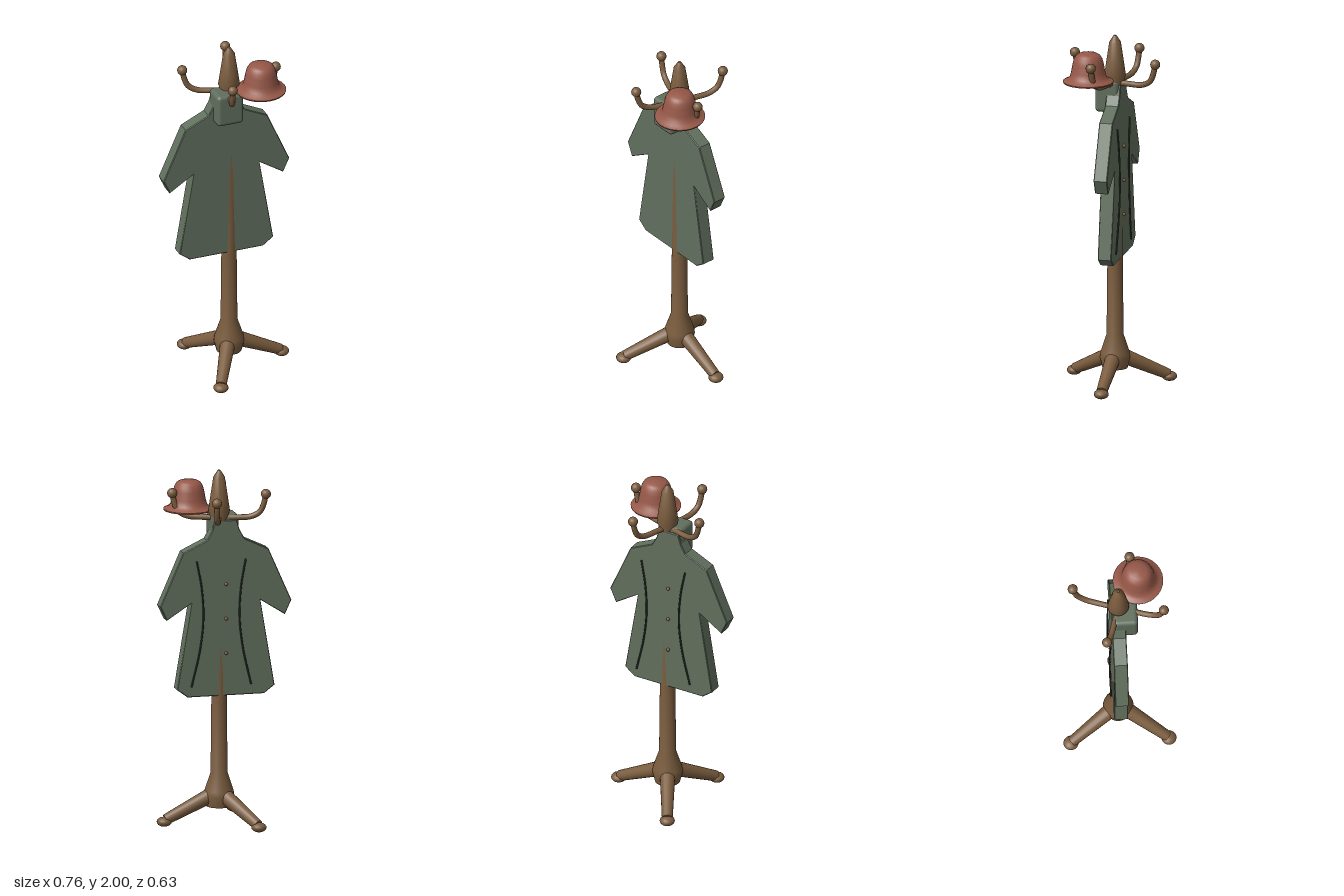
import * as THREE from 'three';
import { RoundedBoxGeometry } from 'three/addons/geometries/RoundedBoxGeometry.js';
import { toCreasedNormals } from 'three/addons/utils/BufferGeometryUtils.js';

const paint = (name, color, side = THREE.FrontSide) => {
  const m = new THREE.MeshStandardMaterial({ color, side });
  m.name = name;
  return m;
};

const POLE_X = 0.022; // stand axis
const COAT_X = -0.007; // coat centre line

export function createModel() {
  const wood = paint('brown wood', 0x7a5c3e);
  const cloth = paint('grey green cloth', 0x616f5d);
  const thread = paint('dark green seam', 0x343d34);
  const felt = paint('red brown felt', 0x965848, THREE.DoubleSide);

  const model = new THREE.Group();
  model.name = 'coatStand';
  const add = (parent, name, geometry, material, x = 0, y = 0, z = 0) => {
    const mesh = new THREE.Mesh(geometry, material);
    mesh.name = name;
    mesh.position.set(x, y, z);
    parent.add(mesh);
    return mesh;
  };
  const lathe = (points, sides) =>
    toCreasedNormals(new THREE.LatheGeometry(points.map(([r, y]) => new THREE.Vector2(r, y)), sides), 0.6);

  // Turned pole with flared foot and pointed finial
  const stand = new THREE.Group();
  stand.name = 'stand';
  stand.position.x = POLE_X;
  model.add(stand);
  add(stand, 'pole', lathe([
    [0, 0.1], [0.07, 0.1], [0.085, 0.16], [0.08, 0.19], [0.047, 0.29], [0.0425, 0.73], [0.0375, 1.3],
    [0.034, 1.69], [0.06, 1.77], [0.05, 1.84], [0.032, 1.96], [0.008, 1.998], [0, 2],
  ], 24), wood);

  // Three splayed legs with flattened round feet
  for (let i = 0; i < 3; i++) {
    const leg = new THREE.Group();
    leg.name = 'leg';
    leg.rotation.y = (i * Math.PI * 2) / 3;
    stand.add(leg);
    const top = new THREE.Vector3(0.02, 0.175, 0);
    const end = new THREE.Vector3(0.305, 0.038, 0);
    const dir = end.clone().sub(top);
    const shaft = add(leg, 'legShaft', new THREE.CylinderGeometry(0.03, 0.044, dir.length(), 16), wood);
    shaft.position.copy(top).add(end).multiplyScalar(0.5);
    shaft.quaternion.setFromUnitVectors(new THREE.Vector3(0, 1, 0), dir.normalize());
    add(leg, 'foot', new THREE.SphereGeometry(0.042, 16, 10), wood, 0.313, 0.027, 0).scale.y = 0.64;
  }

  // Four upturned hooks with ball ends
  const hookPath = new THREE.CatmullRomCurve3([
    [0, 1.73], [0.09, 1.732], [0.175, 1.738], [0.225, 1.765], [0.247, 1.81], [0.258, 1.86],
  ].map(([x, y]) => new THREE.Vector3(x, y, 0)));
  for (let i = 0; i < 4; i++) {
    const hook = new THREE.Group();
    hook.name = 'hook';
    hook.rotation.y = -0.3 + (i * Math.PI) / 2;
    stand.add(hook);
    add(hook, 'hookArm', new THREE.TubeGeometry(hookPath, 24, 0.016, 10), wood);
    add(hook, 'hookBall', new THREE.SphereGeometry(0.028, 16, 12), wood, 0.259, 1.865, 0);
  }

  // Coat body cut from a mirrored outline
  const coat = new THREE.Group();
  coat.name = 'coat';
  coat.position.x = COAT_X;
  model.add(coat);
  const half = [
    [0.218, 0.73], [0.278, 0.775], [0.197, 1.26], [0.337, 1.17], [0.374, 1.25],
    [0.243, 1.548], [0.107, 1.612], [0.078, 1.665], [0.062, 1.72],
  ];
  const outline = [...half, ...half.map(([x, y]) => [-x, y]).reverse()];
  const bevel = 0.004;
  const body = new THREE.ExtrudeGeometry(
    new THREE.Shape(outline.map(([x, y]) => new THREE.Vector2(x, y))),
    { depth: 0.077 - 2 * bevel, bevelThickness: bevel, bevelSize: bevel, bevelOffset: -bevel, bevelSegments: 1 });
  add(coat, 'coatBody', body, cloth, 0, 0, -0.04 + bevel);
  add(coat, 'collar', new RoundedBoxGeometry(0.157, 0.187, 0.135, 3, 0.022), cloth, 0, 1.657, 0.037);

  // Curved seams and buttons on the back
  for (const s of [1, -1]) {
    const seam = new THREE.CatmullRomCurve3([
      [0.14, 1.5, -0.049], [0.113, 1.35, -0.052], [0.103, 1.18, -0.054], [0.122, 1.0, -0.053], [0.17, 0.79, -0.049],
    ].map(([x, y, z]) => new THREE.Vector3(s * x + POLE_X - COAT_X, y, z)));
    add(coat, 'seam', new THREE.TubeGeometry(seam, 24, 0.005, 6), thread);
  }
  for (let i = 0; i < 3; i++) {
    add(coat, 'button', new THREE.SphereGeometry(0.01, 12, 8), wood, 0, 1.36 - i * 0.195, -0.045);
  }

  // Bell-shaped felt hat resting on one hook
  add(model, 'hat', lathe([
    [0, 1.758], [0.138, 1.758], [0.14, 1.766], [0.118, 1.775], [0.102, 1.79], [0.094, 1.82],
    [0.086, 1.865], [0.079, 1.892], [0.067, 1.912], [0.05, 1.922], [0, 1.925],
  ], 28), felt, 0.165, 0, 0.117);

  return model;
}
